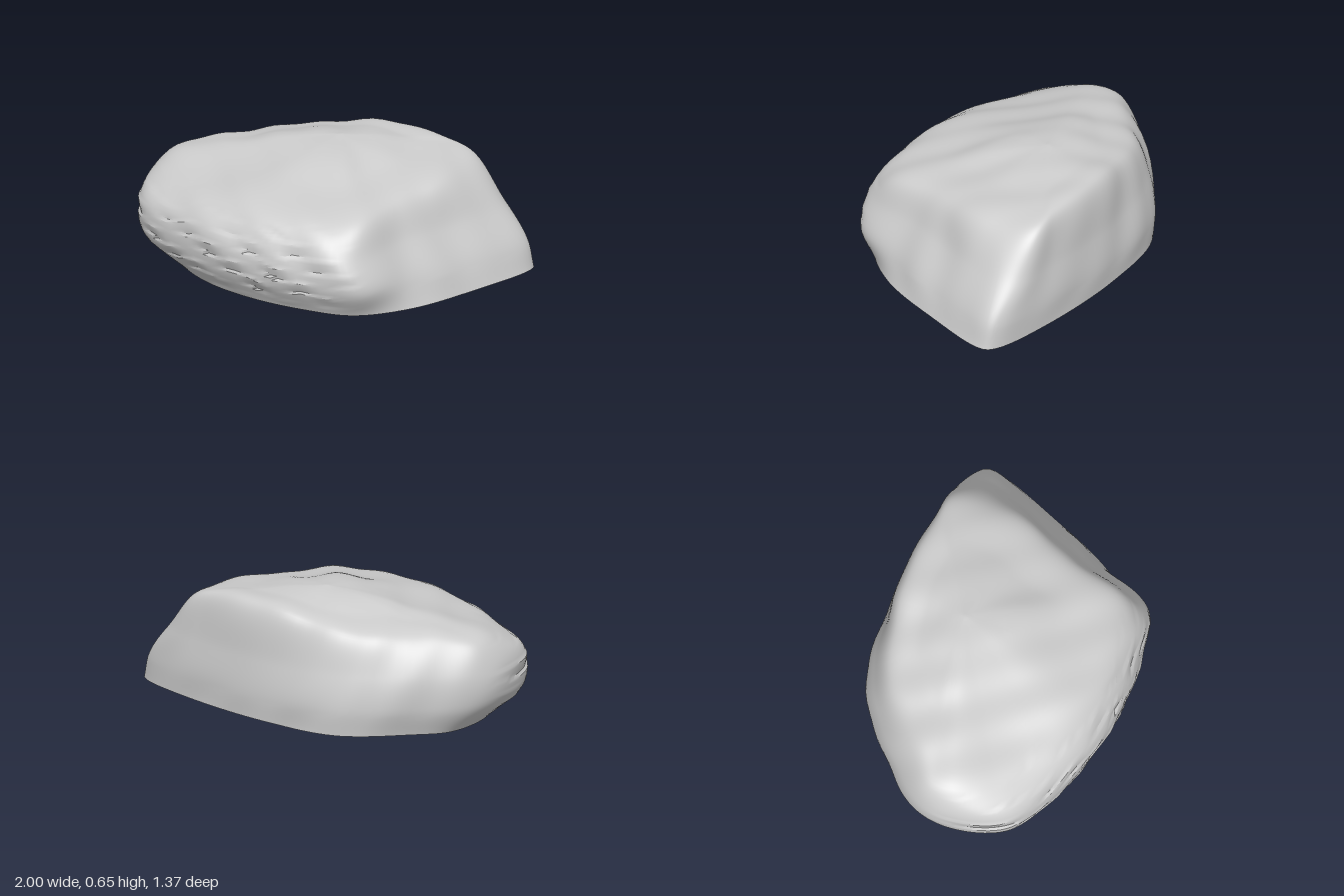
import * as THREE from 'three';
import { toCreasedNormals } from 'three/addons/utils/BufferGeometryUtils.js';

// Outlines as [x, z] pairs, from the right tip round the front, left end and back
const BASE = [1, -.46, .87, -.05, .69, .33, .47, .55, .2, .6, -.12, .59, -.42, .51, -.66, .35,
  -.82, .12, -.83, -.19, -.7, -.36, -.4, -.62, .05, -.67, .6, -.615, .95, -.52];
const BELLY = [.955, -.46, .81, -.05, .665, .29, .54, .59, .2, .67, -.17, .655, -.52, .565, -.87, .375,
  -.97, .13, -.95, -.13, -.78, -.34, -.39, -.63, .05, -.675, .58, -.62, .9, -.53];
const WAIST = [.835, -.44, .715, -.07, .59, .22, .47, .58, .15, .655, -.2, .65, -.54, .555, -.88, .365,
  -.985, .1, -.97, -.1, -.77, -.33, -.4, -.585, .05, -.65, .53, -.605, .76, -.555];
// Shoulder as [x, y, z] triples, since its height varies round the rock
const SHOULDER = [.64, .545, -.38, .61, .53, -.1, .51, .505, .14, .42, .46, .48, .12, .46, .55,
  -.18, .46, .545, -.48, .445, .44, -.77, .435, .28, -.91, .465, .07, -.9, .47, -.08,
  -.7, .5, -.26, -.42, .52, -.49, .05, .595, -.585, .46, .59, -.57, .58, .57, -.535];
const CROWN = new THREE.Vector3(-.02, .65, -.22);
const COLS = 140, ROWS = 72;

const level = (flat, y) => Array.from({ length: flat.length / 2 },
  (_, i) => new THREE.Vector3(flat[i * 2], y, flat[i * 2 + 1]));

const loop = points => new THREE.CatmullRomCurve3(points, true, 'centripetal');

// Shrink the shoulder toward the crown, rising faster than it narrows to form a dome
const domeRing = (ring, inward, rise) => ring.map(p => {
  const q = p.clone().lerp(CROWN, inward);
  q.y = THREE.MathUtils.lerp(p.y, CROWN.y, rise);
  return q;
});

// Weathering: broad lumps everywhere, thin layered ledges on the front and left
function weather(p, t) {
  const fade = Math.min(1, t * 8) * Math.min(1, (1 - t) * 4);
  const lump = Math.sin(p.x * 9 + p.y * 7) * Math.sin(p.z * 10 - p.y * 5 + 1)
    + .6 * Math.sin(p.x * 19 - p.z * 14 + p.y * 11);
  const facing = THREE.MathUtils.smoothstep(p.z - p.x * .4, .3, .6)
    * (1 - THREE.MathUtils.smoothstep(p.y, .42, .5));
  const layer = p.y * 15 + .4 * Math.sin(p.x * 6) + .15 * Math.sin(p.x * 17);
  const patch = Math.max(0, Math.sin(p.x * 15 + Math.floor(layer) * 2.3));
  const ledge = (layer - Math.floor(layer) - .6) * patch * facing;
  const out = new THREE.Vector3(p.x, 0, p.z).normalize();
  p.addScaledVector(out, fade * (.005 * lump + .022 * ledge));
  p.y += fade * .005 * lump;
  return p;
}

export function createModel() {
  const group = new THREE.Group();
  group.name = 'rock';
  const material = new THREE.MeshStandardMaterial({ color: 0xcccccc });

  const shoulder = Array.from({ length: 15 }, (_, i) => new THREE.Vector3().fromArray(SHOULDER, i * 3));
  const rings = [level(BASE, 0), level(BELLY, .15), level(WAIST, .32), shoulder,
    domeRing(shoulder, .42, .5), domeRing(shoulder, .76, .88)].map(loop);

  // Loft a profile curve up every column, then close at the crown
  const profiles = Array.from({ length: COLS }, (_, c) => new THREE.CatmullRomCurve3(
    [...rings.map(r => r.getPoint(c / COLS)), CROWN], false, 'centripetal'));
  const positions = [], index = [];
  for (let r = 0; r < ROWS; r++) {
    for (const profile of profiles) {
      const p = weather(profile.getPoint(r / ROWS), r / ROWS);
      positions.push(p.x, Math.max(0, p.y), p.z);
    }
  }
  positions.push(...CROWN.toArray());
  const pole = ROWS * COLS;
  for (let r = 0; r < ROWS; r++) {
    for (let c = 0; c < COLS; c++) {
      const a = r * COLS + c, b = r * COLS + (c + 1) % COLS;
      if (r === ROWS - 1) index.push(a, pole, b);
      else index.push(a, a + COLS, b, b, a + COLS, b + COLS);
    }
  }
  const skin = new THREE.BufferGeometry();
  skin.setAttribute('position', new THREE.Float32BufferAttribute(positions, 3));
  skin.setIndex(index);
  const body = new THREE.Mesh(toCreasedNormals(skin, .6), material);
  body.name = 'rockBody';

  // Flat underside
  const floor = [0, 0, 0, ...positions.slice(0, COLS * 3)], fan = [];
  for (let c = 0; c < COLS; c++) fan.push(0, c + 1, (c + 1) % COLS + 1);
  const under = new THREE.BufferGeometry();
  under.setAttribute('position', new THREE.Float32BufferAttribute(floor, 3));
  under.setIndex(fan);
  under.computeVertexNormals();
  const base = new THREE.Mesh(under, material);
  base.name = 'flatBase';

  group.add(body, base);
  return group;
}
